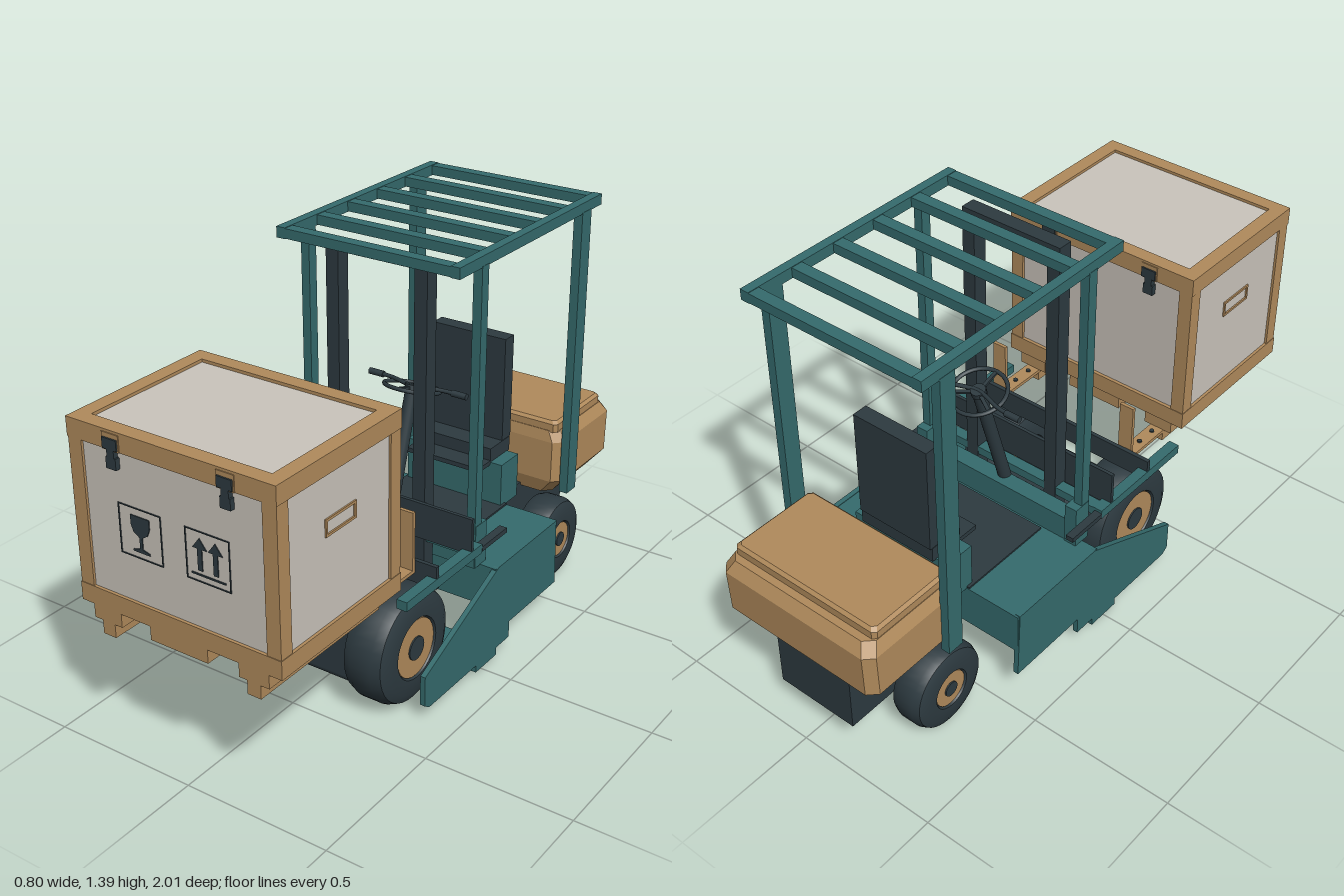
import * as THREE from 'three';
import { toCreasedNormals } from 'three/addons/utils/BufferGeometryUtils.js';
import { RoundedBoxGeometry } from 'three/addons/geometries/RoundedBoxGeometry.js';
import { ConvexGeometry } from 'three/addons/geometries/ConvexGeometry.js';

const paint = (name, color) => Object.assign(new THREE.MeshStandardMaterial({ color }), { name });

export function createModel() {
  const teal = paint('teal', 0x356b6d), dark = paint('charcoal', 0x2d3a40);
  const wood = paint('wood', 0xb18b5c), cream = paint('cream', 0xcbc5bc);
  const model = new THREE.Group();
  model.name = 'forklift';

  const add = (name, geo, mat, parent = model) => {
    const m = new THREE.Mesh(geo, mat);
    m.name = name;
    parent.add(m);
    return m;
  };
  // Box given by its limits on each axis
  const box = (name, mat, x0, x1, y0, y1, z0, z1, parent) =>
    add(name, new THREE.BoxGeometry(x1 - x0, y1 - y0, z1 - z0)
      .translate((x0 + x1) / 2, (y0 + y1) / 2, (z0 + z1) / 2), mat, parent);
  // Same box on both sides
  const pair = (name, mat, x0, x1, ...rest) => {
    box(name + 'Left', mat, x0, x1, ...rest);
    box(name + 'Right', mat, -x1, -x0, ...rest);
  };
  const shape = pts => new THREE.Shape(pts.map(p => new THREE.Vector2(...p)));
  const plate = (s, depth) => new THREE.ExtrudeGeometry(s, { depth, bevelEnabled: false });

  // Wheels: rounded tyre, ring hub and dark axle cap
  const wheel = (name, x, y, z, r, w, hub, cap) => {
    const g = new THREE.Group();
    g.name = name;
    const h = w / 2, c = r * 0.13;
    const profile = [[0, -h + 0.012], [hub, -h + 0.012], [hub + 0.006, -h], [r - c * 1.6, -h], [r - c * 0.5, -h + c * 0.5],
      [r, -h + c * 1.7]];
    const pts = [...profile, ...profile.map(([a, b]) => [a, -b]).reverse()].map(p => new THREE.Vector2(...p));
    add('tyre', toCreasedNormals(new THREE.LatheGeometry(pts, 36).rotateZ(Math.PI / 2), 0.5), dark, g);
    const disc = (n, rad, len, mat) =>
      add(n, toCreasedNormals(new THREE.CylinderGeometry(rad, rad, len, 28).rotateZ(Math.PI / 2), 0.6), mat, g);
    disc('hub', hub, w - 0.01, wood);
    disc('axleCap', cap, w, dark);
    g.position.set(x, y, z);
    model.add(g);
  };
  for (const [side, s] of [['Left', 1], ['Right', -1]]) {
    wheel('frontWheel' + side, s * 0.235, 0.203, 0.27, 0.197, 0.16, 0.1, 0.04);
    wheel('rearWheel' + side, s * 0.243, 0.153, -0.665, 0.147, 0.125, 0.063, 0.026);
  }
  add('frontAxle', new THREE.CylinderGeometry(0.035, 0.035, 0.4, 16).rotateZ(Math.PI / 2).translate(0, 0.203, 0.27), dark);
  add('rearAxle', new THREE.CylinderGeometry(0.03, 0.03, 0.42, 16).rotateZ(Math.PI / 2).translate(0, 0.153, -0.665), dark);

  // Drive housing and rear chassis
  add('driveHousing', new RoundedBoxGeometry(0.29, 0.27, 0.4, 3, 0.025).translate(0, 0.16, 0.14), dark);
  box('rearChassis', dark, -0.15, 0.15, 0.115, 0.348, -0.94, -0.44);
  box('frontCrossMember', dark, -0.14, 0.14, 0.31, 0.352, -0.02, 0.05);

  // Body, floor, step and side skirts
  box('body', teal, -0.395, 0.395, 0.205, 0.352, -0.457, -0.06);
  box('floorMat', dark, -0.2, 0.2, 0.35, 0.358, -0.455, -0.1);
  box('step', teal, -0.395, 0.395, 0.022, 0.06, -0.075, 0.05);
  const skirt = shape([[0.35, 0.17], [0.35, 0.065], [0.325, 0.048], [0.05, 0.048], [0.05, 0.022], [-0.075, 0.022],
    [-0.075, 0.05], [-0.155, 0.05], [-0.155, 0.11], [-0.46, 0.11], [-0.45, 0.354], [-0.075, 0.354]]);
  for (const [name, x] of [['skirtLeft', 0.398], ['skirtRight', -0.38]])
    add(name, plate(skirt, 0.018).rotateY(-Math.PI / 2).translate(x, 0, 0), teal);

  // Dash panel, side arms and grips
  box('dashPanel', teal, -0.335, 0.335, 0.35, 0.44, -0.09, -0.03);
  pair('dashSupport', teal, 0.29, 0.335, 0.35, 0.5, -0.095, -0.03);
  box('instrumentPlate', dark, -0.37, 0.37, 0.45, 0.575, 0.04, 0.052);
  pair('arm', teal, 0.335, 0.372, 0.43, 0.462, -0.01, 0.415);
  pair('grip', dark, 0.345, 0.373, 0.435, 0.452, -0.16, -0.01);
  box('armBrace', teal, -0.335, 0.335, 0.43, 0.46, -0.01, 0.03);

  // Mast
  pair('mastRail', dark, 0.14, 0.186, 0.06, 1.366, -0.012, 0.04);
  box('mastTop', dark, -0.186, 0.186, 1.342, 1.366, -0.012, 0.04);

  // Carriage and forks
  box('carriage', dark, -0.37, 0.37, 0.425, 0.502, 0.238, 0.252);
  pair('forkUpright', wood, 0.24, 0.292, 0.46, 0.67, 0.253, 0.265);
  pair('fork', wood, 0.24, 0.292, 0.459, 0.471, 0.253, 0.95);
  for (const x of [-0.266, 0.266]) for (const z of [0.34, 0.41])
    add('forkBolt', new THREE.CylinderGeometry(0.008, 0.008, 0.006, 12).translate(x, 0.473, z), dark);

  // Overhead guard
  pair('guardFrontPost', teal, 0.302, 0.333, 0.35, 1.368, -0.065, -0.028);
  pair('guardRearPost', teal, 0.302, 0.333, 0.355, 1.368, -0.7, -0.64);
  pair('roofRail', teal, 0.3, 0.332, 1.364, 1.4, -0.768, 0.095);
  for (let i = 0; i < 6; i++) {
    const z = 0.075 - i * 0.1646;
    box('roofBar', teal, -0.302, 0.302, 1.366, 1.398, z - 0.02, z + 0.02);
  }

  // Seat
  box('seatBase', teal, -0.19, 0.19, 0.35, 0.51, -0.54, -0.43);
  box('seatCushion', dark, -0.145, 0.145, 0.5, 0.516, -0.43, -0.355);
  box('seatPad', dark, -0.145, 0.145, 0.508, 0.56, -0.555, -0.43);
  box('seatBack', dark, -0.143, 0.143, 0.56, 0.932, -0.562, -0.508);

  // Steering column, wheel and handlebar
  const steering = new THREE.Group();
  steering.name = 'steering';
  steering.position.set(0, 0.85, -0.165);
  steering.rotation.x = -0.29;
  model.add(steering);
  add('column', new THREE.CylinderGeometry(0.022, 0.022, 0.47, 16).translate(0, -0.235, 0), dark, steering);
  add('steeringWheel', new THREE.TorusGeometry(0.092, 0.007, 8, 36).rotateX(Math.PI / 2), dark, steering);
  add('wheelHub', new THREE.CylinderGeometry(0.025, 0.025, 0.02, 16), dark, steering);
  for (const a of [0, 1, 2])
    add('spoke', new THREE.BoxGeometry(0.012, 0.008, 0.09).translate(0, 0, 0.045).rotateY(a * 2.094), dark, steering);
  const bar = new THREE.CatmullRomCurve3([[-0.18, 0.01, -0.03], [-0.1, 0.01, -0.025], [0, 0.005, 0], [0.1, 0.01, -0.025],
    [0.18, 0.01, -0.03]].map(p => new THREE.Vector3(...p)));
  add('handlebar', new THREE.TubeGeometry(bar, 24, 0.007, 8), dark, steering);
  for (const x of [-0.16, 0.16])
    add('handGrip', new THREE.CylinderGeometry(0.011, 0.011, 0.055, 12).rotateZ(Math.PI / 2).translate(x, 0.01, -0.029), dark, steering);

  // Counterweight: chamfered block with a raised lid
  const ring = (y, x, z0, z1, c) => [[x, z1 - c], [x, z0 + c], [x - c, z0], [c - x, z0], [-x, z0 + c], [-x, z1 - c],
    [c - x, z1], [x - c, z1]].map(([a, b]) => new THREE.Vector3(a, y, b));
  add('counterweight', new ConvexGeometry([...ring(0.335, 0.26, -0.945, -0.64, 0.03), ...ring(0.39, 0.305, -0.995, -0.623, 0.03),
    ...ring(0.54, 0.305, -1, -0.623, 0.03), ...ring(0.58, 0.285, -0.975, -0.63, 0.03)]), wood);
  add('counterweightLid', new ConvexGeometry([...ring(0.575, 0.283, -0.95, -0.632, 0.012),
    ...ring(0.605, 0.283, -0.95, -0.632, 0.012), ...ring(0.615, 0.273, -0.94, -0.642, 0.012)]), wood);

  // Pallet runners under the crate
  for (const [a, b] of [[-0.32, -0.215], [-0.105, 0.105], [0.215, 0.32]])
    box('palletBlock', wood, a, b, 0.47, 0.52, 0.44, 1);
  pair('palletRunner', wood, 0.243, 0.29, 0.425, 0.47, 0.44, 1);

  // Crate: cream panels in a timber frame
  box('cratePanels', cream, -0.355, 0.355, 0.53, 1.09, 0.448, 0.99);
  for (const [y0, y1] of [[0.515, 0.575], [1.04, 1.1]]) {
    pair('sideRail', wood, 0.315, 0.365, y0, y1, 0.436, 1);
    box('frontRail', wood, -0.315, 0.315, y0, y1, 0.95, 1);
    box('backRail', wood, -0.315, 0.315, y0, y1, 0.436, 0.486);
  }
  pair('frontCornerPost', wood, 0.315, 0.363, 0.575, 1.04, 0.95, 0.998);
  pair('backCornerPost', wood, 0.315, 0.363, 0.575, 1.04, 0.438, 0.486);
  // Handle outline on each side
  for (const y of [0.85, 0.897]) pair('handleRim', wood, 0.353, 0.36, y, y + 0.008, 0.647, 0.787);
  for (const z of [0.647, 0.779]) pair('handleEnd', wood, 0.353, 0.36, 0.858, 0.897, z, z + 0.008);

  // Latches on the front and back of the crate
  for (const x of [-0.2, 0.2]) for (const [z, s] of [[1, 1], [0.436, -1]]) {
    const latch = (n, mat, w, y0, y1, d) =>
      box(n, mat, x - w, x + w, y0, y1, Math.min(z - s * 0.012, z + s * d), Math.max(z - s * 0.012, z + s * d));
    latch('latchPlate', wood, 0.03, 1.04, 1.092, 0.003);
    latch('latchHead', dark, 0.026, 1.045, 1.078, 0.008);
    latch('latchStrap', dark, 0.013, 1.015, 1.045, 0.006);
    latch('latchFoot', dark, 0.018, 0.985, 1.02, 0.006);
  }

  // Handling marks on the front panel
  const mark = (name, pts) => add(name, plate(shape(pts), 0.004).translate(0, 0, 0.989), dark);
  for (const [a, b] of [[-0.2, -0.045], [0.04, 0.195]]) {
    const frame = shape([[a, 0.722], [b, 0.722], [b, 0.88], [a, 0.88]]), t = 0.003;
    frame.holes.push(new THREE.Path([[a + t, 0.722 + t], [a + t, 0.88 - t], [b - t, 0.88 - t], [b - t, 0.722 + t]]
      .map(p => new THREE.Vector2(...p))));
    add('markFrame', plate(frame, 0.004).translate(0, 0, 0.989), dark);
  }
  const half = [[0.03, 0.742], [0.03, 0.748], [0.005, 0.754], [0.005, 0.79], [0.025, 0.803], [0.034, 0.825], [0.034, 0.855]];
  mark('glassMark', [...half.map(([x, y]) => [x - 0.122, y]), ...half.map(([x, y]) => [-x - 0.122, y]).reverse()]);
  for (const x of [0.09, 0.145])
    mark('arrowMark', [[x - 0.008, 0.758], [x + 0.008, 0.758], [x + 0.008, 0.825], [x + 0.025, 0.825], [x, 0.858],
      [x - 0.025, 0.825], [x - 0.008, 0.825]]);
  mark('arrowBase', [[0.058, 0.742], [0.178, 0.742], [0.178, 0.747], [0.058, 0.747]]);

  return model;
}
